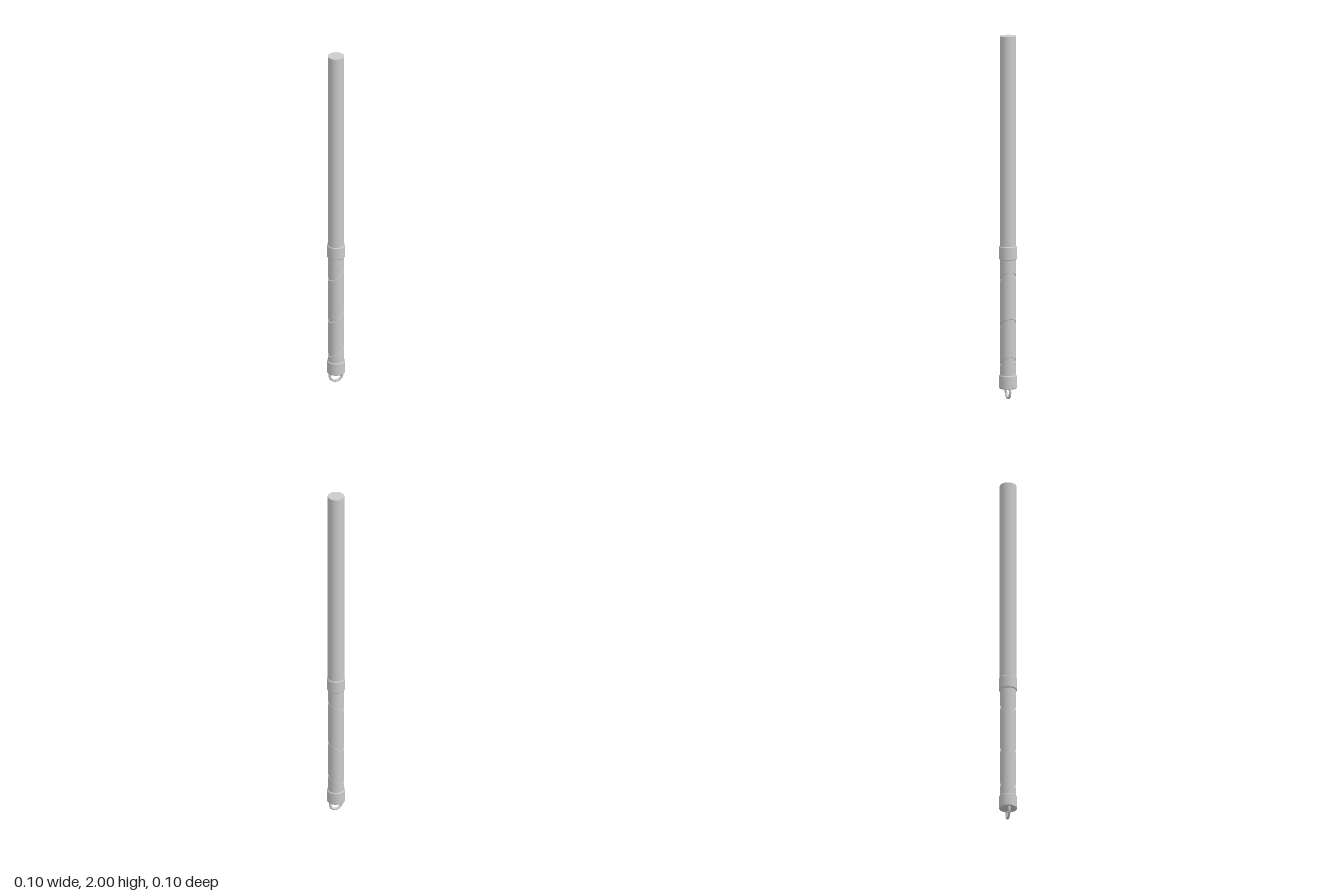
import * as THREE from 'three';

const mat = new THREE.MeshStandardMaterial({ color: 0xcccccc });

function add(group, name, geometry, y = 0) {
  const mesh = new THREE.Mesh(geometry, mat);
  mesh.name = name;
  mesh.position.y = y;
  group.add(mesh);
  return mesh;
}

// upright cylinder between two heights
function rod(r, y0, y1, sides = 32) {
  return new THREE.CylinderGeometry(r, r, y1 - y0, sides).translate(0, (y0 + y1) / 2, 0);
}

// sleeve whose bottom and top rims may slope along x
function slantedSleeve(r, y0, y1, slope0, slope1) {
  const g = rod(r, y0, y1);
  const p = g.attributes.position;
  const mid = (y0 + y1) / 2;
  for (let i = 0; i < p.count; i++) {
    const y = p.getY(i);
    p.setY(i, y + p.getX(i) * (y > mid ? slope1 : slope0));
  }
  return g;
}

// collar with small bevels, each face strip shaded separately
function collar(height) {
  const profile = [[0, 0], [0.047, 0], [0.05, 0.004], [0.05, height - 0.004], [0.047, height], [0, height]]
    .map(([x, y]) => new THREE.Vector2(x, y));
  const g = new THREE.Group();
  for (let i = 0; i < profile.length - 1; i++) {
    add(g, 'collarFace', new THREE.LatheGeometry([profile[i], profile[i + 1]], 20));
  }
  return g;
}

export function createModel() {
  const model = new THREE.Group();
  model.name = 'staff';

  // plain upper shaft
  add(model, 'shaft', rod(0.045, 0.8, 2));

  // grip: a core with sleeves separated by slanted grooves
  add(model, 'gripCore', rod(0.041, 0.1, 0.8));
  const grooves = [0.2, 0.41, 0.665];
  const slope = 0.6, gap = 0.016;
  for (let i = 0; i <= grooves.length; i++) {
    const first = i === 0, last = i === grooves.length;
    const y0 = first ? 0.1 : grooves[i - 1] + gap / 2;
    const y1 = last ? 0.8 : grooves[i] - gap / 2;
    add(model, 'gripSleeve', slantedSleeve(0.0445, y0, y1, first ? 0 : slope, last ? 0 : slope));
  }

  // collars at both ends of the grip
  for (const [name, y] of [['lowerCollar', 0.06], ['upperCollar', 0.77]]) {
    const c = collar(0.074);
    c.name = name;
    c.position.y = y;
    model.add(c);
  }

  // hanging ring, upper half sunk into the lower collar
  add(model, 'hangingRing', new THREE.TorusGeometry(0.035, 0.007, 12, 32), 0.046 - 0.004);

  return model;
}
